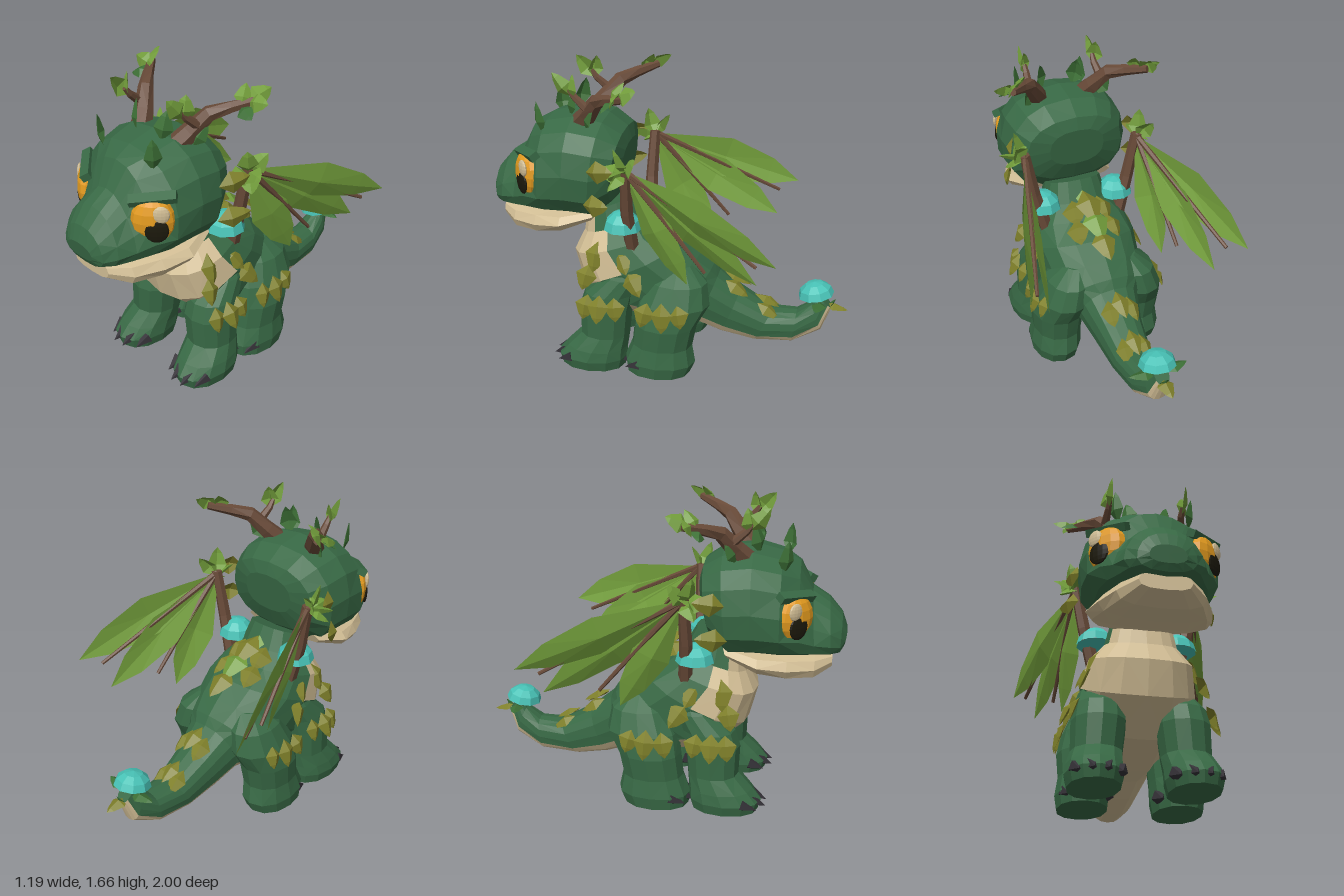
import * as THREE from 'three';

const V = (x, y, z) => new THREE.Vector3(x, y, z);
const mat = (name, color, side = THREE.FrontSide) => {
  const m = new THREE.MeshStandardMaterial({ color, side });
  m.name = name;
  return m;
};

export function createModel() {
  const skin = mat('forest green skin', 0x386945);
  const cream = mat('cream belly', 0xd2be95);
  const leafGreen = mat('leaf green', 0x729d3b, THREE.DoubleSide);
  const darkLeaf = mat('dark leaf green', 0x3d7036, THREE.DoubleSide);
  const olive = mat('olive leaf', 0x7f802a, THREE.DoubleSide);
  const wood = mat('brown wood', 0x684a38);
  const teal = mat('teal mushroom', 0x48c2b6);
  const amber = mat('amber iris', 0xe29a1f);
  const black = mat('black pupil', 0x1c190c);
  const claw = mat('charcoal claw', 0x343137);

  const model = new THREE.Group();
  const add = (name, geo, material, parent = model) => {
    const g = geo.index ? geo.toNonIndexed() : geo;
    g.computeVertexNormals(); // one normal per facet
    const mesh = new THREE.Mesh(g, material);
    mesh.name = name;
    parent.add(mesh);
    return mesh;
  };

  // Joins rings {c, u, v, taper}; faces below under(ring) become the cream underside
  function loft(name, rings, material, { n = 12, p = 0.85, under = () => -2 } = {}) {
    const pw = (t) => Math.sign(t) * Math.abs(t) ** p;
    const pts = rings.map(({ c, u, v, taper = 0 }) => Array.from({ length: n }, (_, j) => {
      const a = (j / n) * Math.PI * 2, s = pw(Math.sin(a));
      return c.clone().addScaledVector(u, pw(Math.cos(a)) * (1 - taper * (s + 1) / 2)).addScaledVector(v, s);
    }));
    const tris = [[], []];
    let volume = 0;
    const tri = (k, a, b, c) => {
      tris[k].push([a, b, c]);
      volume += a.dot(b.clone().cross(c));
    };
    const last = rings.length - 1;
    for (let j = 0; j < n; j++) {
      const j2 = (j + 1) % n, low = Math.sin(((j + 0.5) / n) * Math.PI * 2);
      for (let i = 0; i < last; i++) {
        const k = low < under(i) ? 1 : 0;
        const a = pts[i][j], b = pts[i][j2], c = pts[i + 1][j2], d = pts[i + 1][j];
        if ((i + j) % 2) { tri(k, a, b, c); tri(k, a, c, d); }
        else { tri(k, a, b, d); tri(k, b, c, d); }
      }
      tri(0, rings[0].c, pts[0][j2], pts[0][j]);
      tri(0, rings[last].c, pts[last][j], pts[last][j2]);
    }
    tris.forEach((list, k) => {
      if (!list.length) return;
      const flat = list.flatMap(([a, b, c]) => (volume > 0 ? [a, b, c] : [a, c, b]));
      add(k ? name + 'Underside' : name, new THREE.BufferGeometry().setFromPoints(flat), k ? cream : material);
    });
  }
  // Ring from its top and bottom points in the side plane
  const slice = ([tz, ty, bz, by, hw, taper]) => ({
    c: V(0, (ty + by) / 2, (tz + bz) / 2), u: V(hw, 0, 0), v: V(0, (ty - by) / 2, (tz - bz) / 2), taper,
  });
  // Tapered round branch through points
  function branch(name, points, r0, r1) {
    const rings = points.map((c, i) => {
      const t = points[Math.min(i + 1, points.length - 1)].clone().sub(points[Math.max(i - 1, 0)]).normalize();
      const r = r0 + (r1 - r0) * i / (points.length - 1);
      const u = t.clone().cross(Math.abs(t.x) > 0.9 ? V(0, 1, 0) : V(1, 0, 0)).normalize();
      return { c, u: u.clone().multiplyScalar(r), v: t.clone().cross(u).multiplyScalar(r) };
    });
    loft(name, rings, wood, { n: 6, p: 1 });
  }
  // Folded leaf with a raised ridge; shoulder sets its width near the tip
  function leaf(name, base, tip, w, facing, material, { wide = 0.4, bump = 0.5, shoulder = 0.5 } = {}) {
    const dir = tip.clone().sub(base);
    const side = dir.clone().cross(facing).normalize();
    const up = side.clone().cross(dir).normalize();
    const at = (t, s, h) => base.clone().addScaledVector(dir, t).addScaledVector(side, s * w).addScaledVector(up, h * w);
    const ridge = at(wide, 0, bump), r2 = at(0.8, 0, bump * 0.5);
    const list = [];
    for (const s of [-1, 1]) {
      const a = at(wide, s, 0), b = at(0.8, s * shoulder, 0);
      for (const t of [[base, a, ridge], [ridge, a, b], [ridge, b, r2], [r2, b, tip]])
        list.push(...(s < 0 ? t : [t[0], t[2], t[1]]));
    }
    add(name, new THREE.BufferGeometry().setFromPoints(list), material);
  }
  function mushroom(name, x, y, z, r, h, tilt) {
    const group = new THREE.Group();
    group.name = name;
    group.position.set(x, y, z);
    group.rotation.x = tilt;
    model.add(group);
    const cap = add(name + 'Cap', new THREE.SphereGeometry(r, 9, 3, 0, Math.PI * 2, 0, Math.PI / 2), teal, group);
    cap.scale.y = h / r;
    add(name + 'Gills', new THREE.CircleGeometry(r, 9), teal, group).rotation.x = Math.PI / 2;
  }

  // Neck, torso and tail in one sweep, cream reaching higher on the chest
  loft('body', [
    [.2, .97, .47, .87, .16], [.14, .86, .49, .74, .19], [.05, .79, .545, .63, .27], [-.08, .73, .5, .45, .3],
    [-.18, .65, .32, .29, .28], [-.25, .58, .03, .22, .23], [-.28, .53, -.16, .22, .17], [-.4, .43, -.3, .165, .135],
    [-.58, .325, -.48, .13, .11], [-.72, .33, -.7, .14, .09], [-.8, .39, -.86, .23, .065], [-.83, .45, -.91, .37, .04],
  ].map(slice), skin, { n: 16, under: (i) => [-.4, 0, 0.1][i] ?? -0.3 });

  // Head with a snout that narrows upward, and the jaw below
  loft('head', [
    [.22, 1.27, .25, 1.05, .16], [.24, 1.34, .3, .94, .29, .05], [.34, 1.41, .4, .85, .36, .1], [.5, 1.435, .52, .86, .375, .1],
    [.65, 1.4, .66, .86, .375, .2], [.74, 1.35, .76, .865, .35, .5], [.81, 1.22, .84, .87, .3, .6],
    [.9, 1.16, .92, .87, .24, .45], [.97, 1.08, .965, .875, .17, .35], [1, 1, .985, .91, .1, .2],
  ].map(slice), skin, { n: 16, p: 0.82 });
  loft('jaw', [
    [.36, .94, .4, .85, .26], [.55, .92, .55, .79, .325], [.7, .91, .7, .755, .285], [.84, .9, .84, .75, .22], [.93, .89, .93, .8, .13],
  ].map(slice), cream, { p: 0.75 });

  for (const s of [1, -1]) {
    const P = (x, y, z) => V(x * s, y, z);
    const out = P(1, 0.2, 0);

    // Legs and claws
    const hoop = ([y, x, z, rx, rz]) => ({ c: P(x, y, z), u: V(rx, 0, 0), v: V(0, 0, rz) });
    loft('frontLeg', [
      [0, .245, .4, .13, .185], [.06, .245, .4, .145, .2], [.12, .24, .375, .14, .175], [.2, .225, .33, .13, .14],
      [.36, .215, .325, .14, .15], [.45, .21, .3, .13, .145], [.55, .2, .22, .11, .11], [.66, .17, .18, .08, .07],
    ].map(hoop), skin, { p: 0.93 });
    loft('hindLeg', [
      [0, .25, .02, .13, .18], [.07, .25, .01, .14, .2], [.17, .24, 0, .135, .17], [.3, .24, -.02, .145, .175],
      [.42, .22, -.06, .14, .2], [.54, .19, -.08, .12, .16], [.62, .15, -.08, .06, .07],
    ].map(hoop), skin, { p: 0.93 });
    for (const z of [.585, .195])
      [.135, .205, .275, .34].forEach((x, i) => {
        const c = add('claw', new THREE.ConeGeometry(.04, .09, 5), claw);
        c.position.set(x * s, .05, z - (i % 3 ? 0 : .045));
        c.rotation.x = 1.9;
      });

    // Eye and brow
    const eye = new THREE.Group();
    eye.name = 'eye';
    eye.position.copy(P(.245, 1.115, .73));
    eye.lookAt(P(.965, 1.115, 1.43));
    model.add(eye);
    const dome = (name, r, m, x, y, z, d) => {
      const e = add(name, new THREE.SphereGeometry(r, 12, 8), m, eye);
      e.scale.set(0.9, 1, d / r);
      e.position.set(x * s, y, z);
    };
    dome('iris', .122, amber, 0, 0, 0, .058);
    dome('pupil', .066, black, .015, -.035, .046, .014);
    dome('eyeHighlight', .046, cream, .04, .05, .047, .014);
    const brow = add('brow', new THREE.BoxGeometry(.23, .04, .05), skin, eye);
    brow.position.set(0, .112, 0);
    brow.rotation.set(.5, 0, s * .15);

    // Antler with a side twig and leaves
    branch('antler', [P(.11, 1.34, .5), P(.17, 1.44, .41), P(.23, 1.53, .34), P(.3, 1.56, .26), P(.38, 1.59, .16)], .06, .02);
    branch('antlerTwig', [P(.21, 1.48, .4), P(.2, 1.54, .47), P(.2, 1.58, .5)], .025, .013);
    for (const [x, y, z, x2, y2, z2, w, m] of [
      [.2, 1.54, .48, .2, 1.66, .585, .05, leafGreen], [.2, 1.53, .48, .21, 1.66, .47, .05, leafGreen],
      [.35, 1.58, .2, .47, 1.6, .19, .05, leafGreen], [.35, 1.58, .2, .4, 1.64, .09, .055, leafGreen],
      [.34, 1.56, .24, .31, 1.66, .17, .045, leafGreen], [.33, 1.56, .23, .43, 1.53, .26, .045, darkLeaf],
      [.19, 1.37, .42, .24, 1.49, .36, .045, darkLeaf],
    ]) leaf('antlerLeaf', P(x, y, z), P(x2, y2, z2), w, P(.7, .6, .7), m);
    leaf('crownLeaf', P(.09, 1.4, .53), P(.11, 1.56, .5), .05, P(.8, 0, 1), darkLeaf);
    leaf('crownLeaf', P(.18, 1.32, .66), P(.2, 1.5, .68), .045, P(1, 0, .7), darkLeaf);
    leaf('cheekLeaf', P(.33, 1.18, .38), P(.39, 1.21, .22), .06, out, olive);
    leaf('cheekLeaf', P(.34, 1.0, .4), P(.42, 1.03, .24), .06, out, olive);

    // Leaf wing on a wooden arm
    branch('wingArm', [P(.22, .72, .17), P(.28, .95, .18), P(.33, 1.21, .17)], .04, .03);
    branch('wingSpar', [P(.33, 1.2, .17), P(.36, .96, -.04), P(.39, .7, -.26)], .018, .01);
    branch('wingSpar', [P(.33, 1.2, .17), P(.42, 1.03, -.16), P(.53, .83, -.54)], .018, .01);
    const bladeFace = P(.85, -.25, .25), blade = { wide: .5, bump: .25, shoulder: .68 };
    leaf('wingBlade', P(.32, 1.2, .18), P(.595, .87, -.645), .115, bladeFace, leafGreen, blade);
    leaf('wingBlade', P(.32, 1.19, .17), P(.47, .7, -.54), .105, bladeFace, leafGreen, blade);
    leaf('wingBlade', P(.32, 1.18, .17), P(.35, .6, -.16), .11, P(.85, 0, .4), leafGreen, blade);
    for (const [x, y, z] of [[.37, 1.33, .22], [.46, 1.21, .22], [.4, 1.29, .1], [.42, 1.12, .24], [.34, 1.2, .32]])
      leaf('shoulderLeaf', P(.33, 1.18, .17), P(x, y, z), .055, P(.5, .5, .5), leafGreen);

    mushroom('shoulderMushroom', .22 * s, .835, .22, .105, .1, 0);

    // Leaves on legs and flanks: base then tip
    for (const [x, y, z, x2, y2, z2] of [
      [.32, .46, .4, .37, .33, .42], [.335, .47, .33, .41, .33, .33], [.33, .46, .25, .38, .34, .23],
      [.345, .46, .06, .39, .33, .09], [.35, .47, -.02, .4, .31, -.03], [.335, .46, -.1, .38, .34, -.13],
      [.22, .74, .36, .29, .58, .38], [.22, .72, .25, .32, .6, .18], [.27, .61, .19, .35, .49, .1], [.27, .62, .4, .33, .49, .43],
    ]) leaf('flankLeaf', P(x, y, z), P(x2, y2, z2), .06, out, olive);

    // Side leaves along the back and tail
    for (const [z, y, x, w] of [[.14, .88, .075, .07], [.04, .815, .09, .065], [-.32, .495, .055, .055], [-.5, .37, .05, .05]])
      leaf('backLeaf', V(x * s, y, z), V(x * s * 1.25, y - .08, z - .13), w, V(s * .4, 1, -.4), olive);
    leaf('tailTipLeaf', P(.02, .4, -.85), P(.165, .41, -.83), .04, V(0, 1, 0), darkLeaf);
  }

  // Centre leaves of the back and tail, and the tail tip
  for (const [z, y, l, w, m] of [
    [.26, .93, .17, .06, leafGreen], [.16, .92, .2, .075, olive], [.06, .86, .19, .075, leafGreen], [-.06, .79, .18, .07, olive],
    [-.3, .53, .15, .05, olive], [-.48, .4, .14, .045, olive],
  ]) leaf('spineLeaf', V(0, y, z), V(0, y - l * .5, z - l), w, V(0, 1, -.3), m);
  leaf('tailTipLeaf', V(0, .38, -.86), V(0, .355, -1), .045, V(0, 1, 0), olive);
  leaf('tailTipLeaf', V(0, .3, -.84), V(0, .42, -.93), .04, V(0, .3, -1), darkLeaf);
  mushroom('tailMushroom', 0, .435, -.82, .1, .08, .2);

  return model;
}
